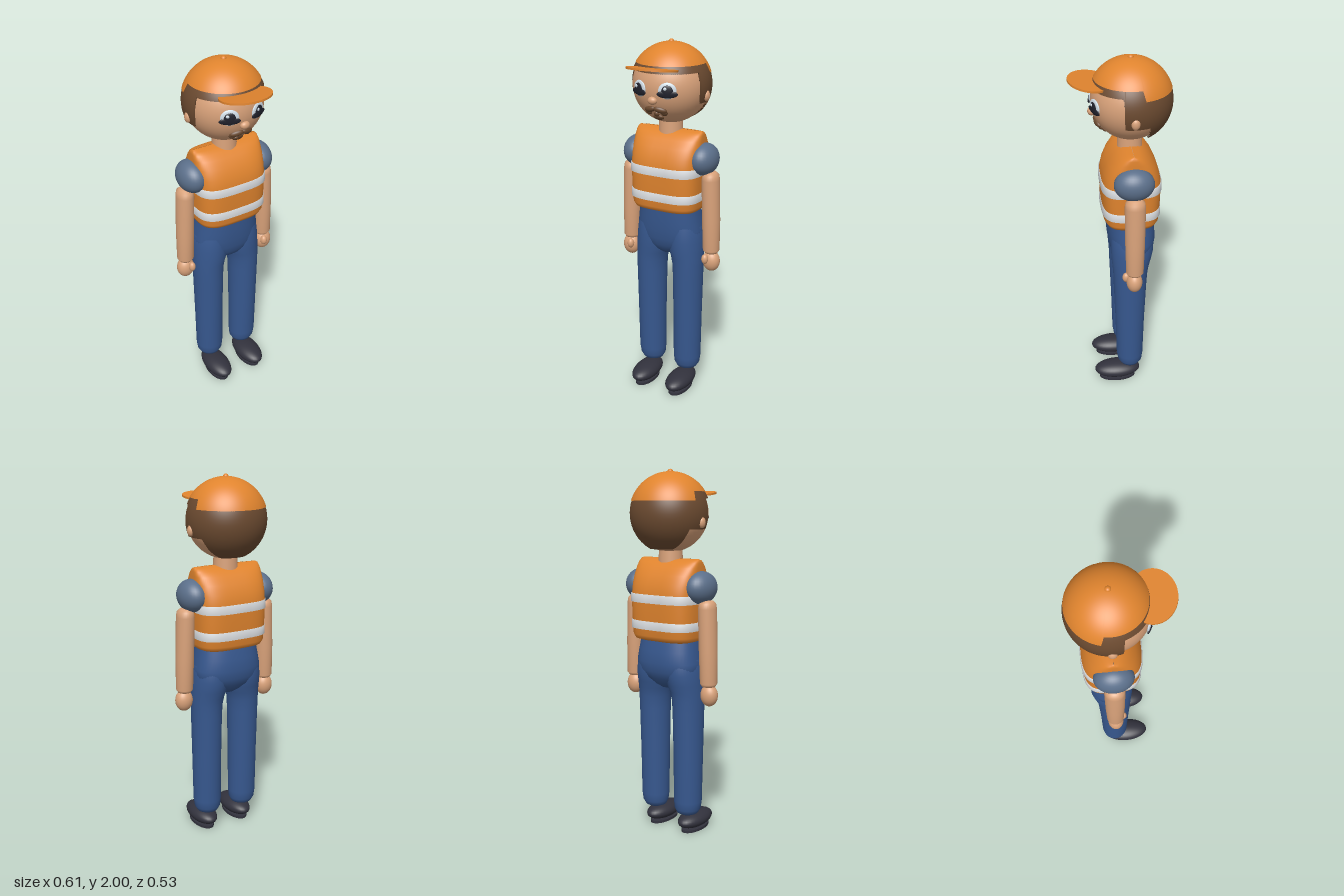
import * as THREE from 'three';

const mat = (name, color, side = THREE.FrontSide) => {
  const m = new THREE.MeshStandardMaterial({ color, side });
  m.name = name;
  return m;
};
const CENTER = new THREE.Vector3(0, 1.77, -0.053); // head centre
const HEAD_R = 0.203;

// Closed loft of superellipse rings [y, cx, cz, halfX, halfZ], bottom to top
function loft(rings, power = 2, n = 48) {
  const pos = [], idx = [];
  const curve = (t) => Math.sign(t) * Math.pow(Math.abs(t), 2 / power);
  rings.forEach(([y, cx, cz, hx, hz], i) => {
    for (let j = 0; j < n; j++) {
      const a = (j / n) * Math.PI * 2;
      pos.push(cx + hx * curve(Math.cos(a)), y, cz + hz * curve(Math.sin(a)));
      if (i === rings.length - 1) continue;
      const k = (j + 1) % n, p = i * n, q = p + n;
      idx.push(p + j, q + j, p + k, p + k, q + j, q + k);
    }
  });
  const g = new THREE.BufferGeometry();
  g.setAttribute('position', new THREE.Float32BufferAttribute(pos, 3));
  g.setIndex(idx);
  g.computeVertexNormals();
  return g;
}

// Sphere shell whose lower edge depends on the angle from the front
function shell(r, edge) {
  const g = new THREE.SphereGeometry(r, 128, 24);
  const p = g.attributes.position, uv = g.attributes.uv, nrm = g.attributes.normal;
  const v = new THREE.Vector3();
  for (let i = 0; i < p.count; i++) {
    const phi = uv.getX(i) * Math.PI * 2, t = Math.min(1, (1 - uv.getY(i)) * 24 / 23);
    const th = t * edge(Math.acos(THREE.MathUtils.clamp(Math.sin(phi), -1, 1)));
    v.set(-Math.cos(phi) * Math.sin(th), Math.cos(th), Math.sin(phi) * Math.sin(th));
    nrm.setXYZ(i, v.x, v.y, v.z);
    v.multiplyScalar(uv.getY(i) < 0.01 ? r * 0.93 : r); // last row turns in to the head
    p.setXYZ(i, v.x, v.y, v.z);
  }
  return g;
}

export function createModel() {
  const root = new THREE.Group();
  root.name = 'worker';
  const orange = mat('orange', 0xe0842e, THREE.DoubleSide);
  const skin = mat('skin', 0xd9a27a);
  const hair = mat('brown hair', 0x6b4a30, THREE.DoubleSide);
  const shirt = mat('slate shirt', 0x5b6f8a);
  const denim = mat('blue trousers', 0x37588f);
  const white = mat('reflective white', 0xe2e5e8);
  const shoeMat = mat('dark shoe', 0x32323d);
  const dark = mat('eye dark', 0x20222d);
  const eyeWhite = mat('eye white', 0xd5e2ec);

  const add = (name, geo, m, x = 0, y = 0, z = 0) => {
    const mesh = new THREE.Mesh(geo, m);
    mesh.name = name;
    mesh.position.set(x, y, z);
    root.add(mesh);
    return mesh;
  };
  const ball = (name, m, [x, y, z], [rx, ry, rz]) => {
    const b = add(name, new THREE.SphereGeometry(1, 32, 20), m, x, y, z);
    b.scale.set(rx, ry, rz);
    return b;
  };
  // Flattened blob lying on the face at x, y
  const onFace = (name, m, x, y, rx, ry, depth, lift = 0, roll = 0) => {
    const dy = y - CENTER.y;
    const d = new THREE.Vector3(x, dy, Math.sqrt(HEAD_R ** 2 - x * x - dy * dy)).normalize();
    const p = CENTER.clone().addScaledVector(d, HEAD_R + lift);
    const b = ball(name, m, p.toArray(), [rx, ry, depth]);
    b.lookAt(p.clone().add(d));
    b.rotateZ(roll);
    return b;
  };

  // Head and neck
  add('head', new THREE.SphereGeometry(HEAD_R, 48, 32), skin, ...CENTER);
  add('neck', new THREE.CylinderGeometry(0.062, 0.068, 0.14, 32), skin, 0, 1.54, -0.05);
  onFace('nose', skin, 0, 1.714, 0.026, 0.021, 0.02, 0.003);

  // Hair: low fringe, sideburns, then full length at the back
  const hairR = 0.215, toTheta = (y, r) => Math.acos((y - CENTER.y) / r);
  add('hair', shell(hairR, (a) => {
    if (a < 1.31) return toTheta(1.85, hairR);
    if (a < 1.97) return toTheta(1.69, hairR);
    const s = Math.min(1, 0.08 / (hairR * Math.abs(Math.cos(a))));
    return Math.min(Math.PI - Math.asin(s), toTheta(1.585, hairR));
  }), hair, ...CENTER);

  // Cap
  const capR = 0.218;
  add('capDome', shell(capR, (a) => toTheta(a < 1.8 ? 1.885 : 1.836, capR)), orange, ...CENTER);
  ball('capButton', orange, [0, 1.986, -0.053], [0.015, 0.014, 0.015]);
  const visor = add('capVisor', new THREE.CylinderGeometry(1, 1, 1, 48), orange, 0, 1.872, 0.147);
  visor.scale.set(0.137, 0.01, 0.115);
  visor.rotation.x = -0.12;

  // Moustache and goatee
  onFace('goatee', hair, 0, 1.616, 0.03, 0.02, 0.012);
  onFace('lipBeard', hair, 0, 1.637, 0.014, 0.016, 0.012);

  for (const s of [-1, 1]) {
    onFace('moustache', hair, s * 0.03, 1.664, 0.037, 0.017, 0.016, 0, -s * 0.25);
    onFace('moustacheEnd', hair, s * 0.045, 1.646, 0.018, 0.018, 0.012);
    ball('ear', skin, [s * 0.207, 1.725, -0.053], [0.017, 0.029, 0.022]);

    // Eyes
    onFace('eyeWhite', eyeWhite, s * 0.08, 1.768, 0.047, 0.042, 0.01);
    onFace('iris', dark, s * 0.08, 1.764, 0.031, 0.033, 0.008, 0.006);
    onFace('lowerLashes', dark, s * 0.08, 1.752, 0.054, 0.02, 0.008, 0.005);
    onFace('eyeGlint', eyeWhite, s * 0.08 - 0.01, 1.779, 0.009, 0.008, 0.004, 0.013);

    // Sleeve, arm and hand
    ball('sleeve', shirt, [s * 0.2, 1.388, -0.05], [0.078, 0.087, 0.105]);
    add('arm', loft([
      [0.862, 0.254, -0.05, 0.001, 0.001], [0.864, 0.254, -0.05, 0.036, 0.036],
      [0.88, 0.254, -0.05, 0.046, 0.047], [1.05, 0.25, -0.05, 0.049, 0.052],
      [1.28, 0.243, -0.05, 0.048, 0.055], [1.308, 0.243, -0.05, 0.043, 0.05],
      [1.322, 0.243, -0.05, 0.028, 0.033], [1.326, 0.243, -0.05, 0.001, 0.001],
    ].map(([y, x, ...r]) => [y, s * x, ...r]), 2, 32), skin);
    ball('hand', skin, [s * 0.257, 0.815, -0.048], [0.049, 0.06, 0.043]);
    ball('thumb', skin, [s * 0.238, 0.835, -0.005], [0.019, 0.028, 0.02]);

    // Leg with rounded cuff
    add('leg', loft([
      [0.105, 0.113, -0.045, 0.001, 0.001], [0.108, 0.113, -0.045, 0.035, 0.035],
      [0.12, 0.113, -0.045, 0.06, 0.058], [0.145, 0.114, -0.045, 0.074, 0.071],
      [0.19, 0.115, -0.044, 0.079, 0.077], [0.45, 0.116, -0.043, 0.081, 0.083],
      [0.7, 0.116, -0.043, 0.084, 0.092], [0.77, 0.115, -0.044, 0.086, 0.095],
      [0.82, 0.11, -0.046, 0.091, 0.1], [0.86, 0.102, -0.05, 0.098, 0.108],
      [0.92, 0.097, -0.055, 0.101, 0.116], [1.0, 0.09, -0.055, 0.098, 0.115],
      [1.08, 0.075, -0.05, 0.08, 0.1],
    ].map(([y, x, ...r]) => [y, s * x, ...r])), denim);

    // Shoe and thin sole
    ball('shoe', shoeMat, [s * 0.112, 0.058, 0.03], [0.071, 0.046, 0.135]);
    const sole = add('sole', new THREE.CylinderGeometry(1, 1, 1, 40), shoeMat, s * 0.112, 0.007, 0.03);
    sole.scale.set(0.055, 0.014, 0.108);
  }

  // Trouser hips
  add('hips', loft([
    [0.828, 0, -0.048, 0.001, 0.001], [0.834, 0, -0.048, 0.035, 0.06],
    [0.855, 0, -0.05, 0.09, 0.085], [0.89, 0, -0.055, 0.16, 0.11],
    [0.93, 0, -0.058, 0.194, 0.124], [0.98, 0, -0.058, 0.191, 0.131],
    [1.04, 0, -0.053, 0.181, 0.131], [1.11, 0, -0.045, 0.171, 0.125],
  ], 2.4), denim);

  // Safety vest: straight shoulders, arched in side profile
  const vest = [
    [1.095, 0.001, 0.001], [1.096, 0.165, 0.12], [1.103, 0.183, 0.138], [1.125, 0.194, 0.149],
    [1.2, 0.198, 0.154], [1.3, 0.2, 0.157], [1.35, 0.2, 0.155], [1.4, 0.2, 0.144],
    [1.45, 0.199, 0.122], [1.49, 0.198, 0.092], [1.515, 0.197, 0.064], [1.53, 0.194, 0.035],
    [1.536, 0.185, 0.001],
  ];
  add('vest', loft(vest.map(([y, hx, hz]) => [y, 0, -0.05, hx, hz]), 3.5, 72), orange);

  // Reflective bands
  for (const [y0, y1, hx, hz] of [[1.159, 1.206, 0.198, 0.154], [1.302, 1.349, 0.2, 0.157]]) {
    add('reflectiveBand', loft([
      [y0, 0, -0.05, hx - 0.004, hz - 0.004], [y0 + 0.001, 0, -0.05, hx + 0.004, hz + 0.004],
      [y1 - 0.001, 0, -0.05, hx + 0.004, hz + 0.003], [y1, 0, -0.05, hx - 0.004, hz - 0.004],
    ], 3.5, 72), white);
  }
  return root;
}
